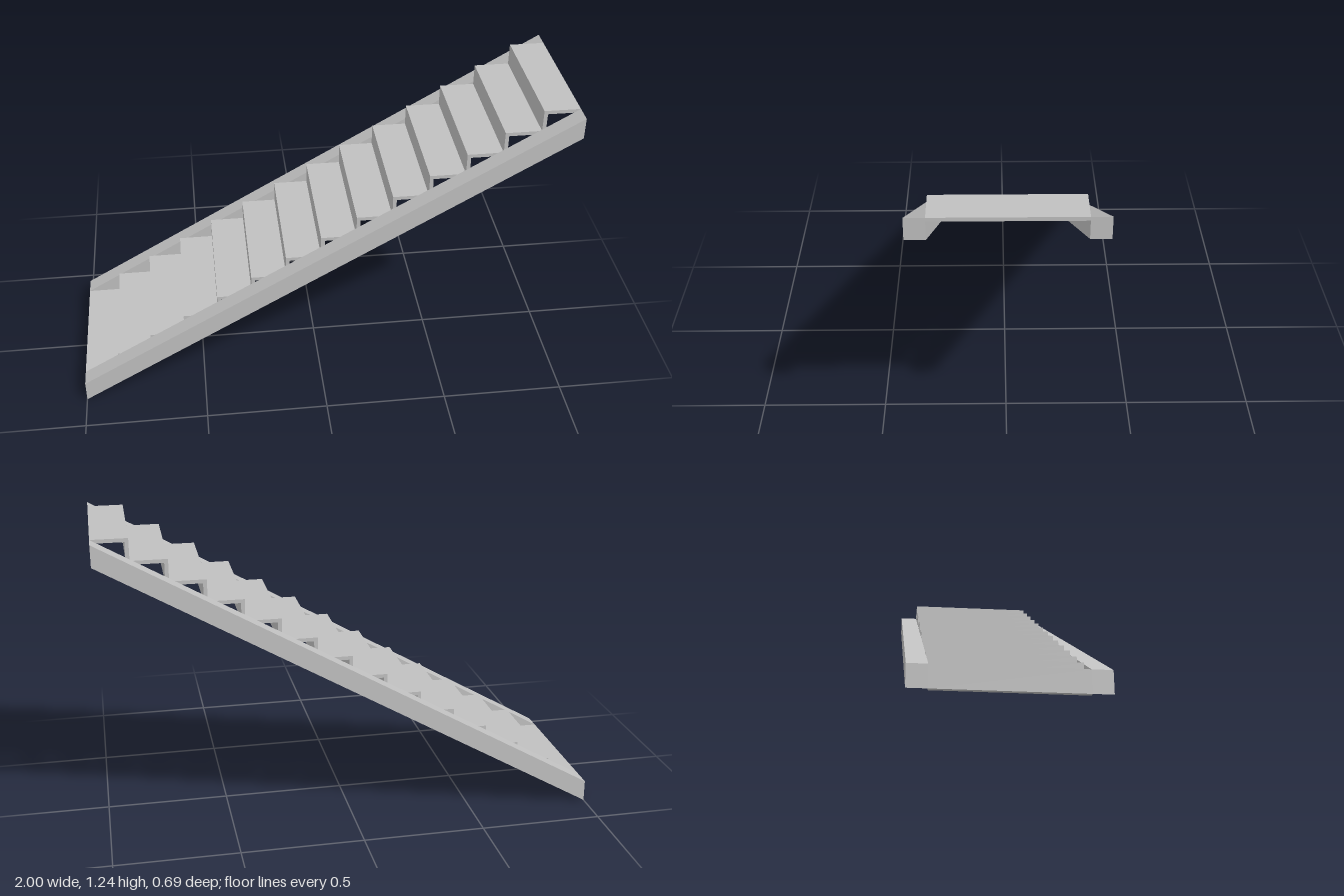
import * as THREE from 'three';

const STEPS = 14;
const HEIGHT = 1.241;
const RUN = 2 / STEPS;
const RISE = HEIGHT / STEPS;
const THICK = 0.015;   // tread and riser thickness
const INNER = 0.271;   // half width between the stringers
const OUTER = 0.345;   // half overall width

// Extrude an x-y outline between two z positions
function slab(points, z0, z1, material, name) {
  const shape = new THREE.Shape(points.map(([x, y]) => new THREE.Vector2(x, y)));
  const geometry = new THREE.ExtrudeGeometry(shape, { depth: z1 - z0, bevelEnabled: false });
  geometry.translate(0, 0, z0);
  const mesh = new THREE.Mesh(geometry, material);
  mesh.name = name;
  return mesh;
}

export function createModel() {
  const group = new THREE.Group();
  group.name = 'staircase';
  const grey = new THREE.MeshStandardMaterial({ color: 0xc0c0c0 });
  grey.name = 'light grey';

  // Sloping side beams with vertical ends
  const beam = [[-1, 0], [1, HEIGHT - RISE + 0.002], [1, HEIGHT], [-1, RISE]];
  group.add(slab(beam, INNER, OUTER, grey, 'frontStringer'));
  group.add(slab(beam, -OUTER, -INNER, grey, 'backStringer'));

  // L-shaped steps: a riser with its tread
  for (let i = 0; i < STEPS; i++) {
    const x0 = -1 + i * RUN, x1 = x0 + RUN;
    const y0 = i * RISE, y1 = y0 + RISE;
    const profile = [
      [x0, y0], [x0 + THICK, y0], [x0 + THICK, y1 - THICK],
      [x1, y1 - THICK], [x1, y1], [x0, y1],
    ];
    group.add(slab(profile, -INNER, INNER, grey, `step${i + 1}`));
  }
  return group;
}
